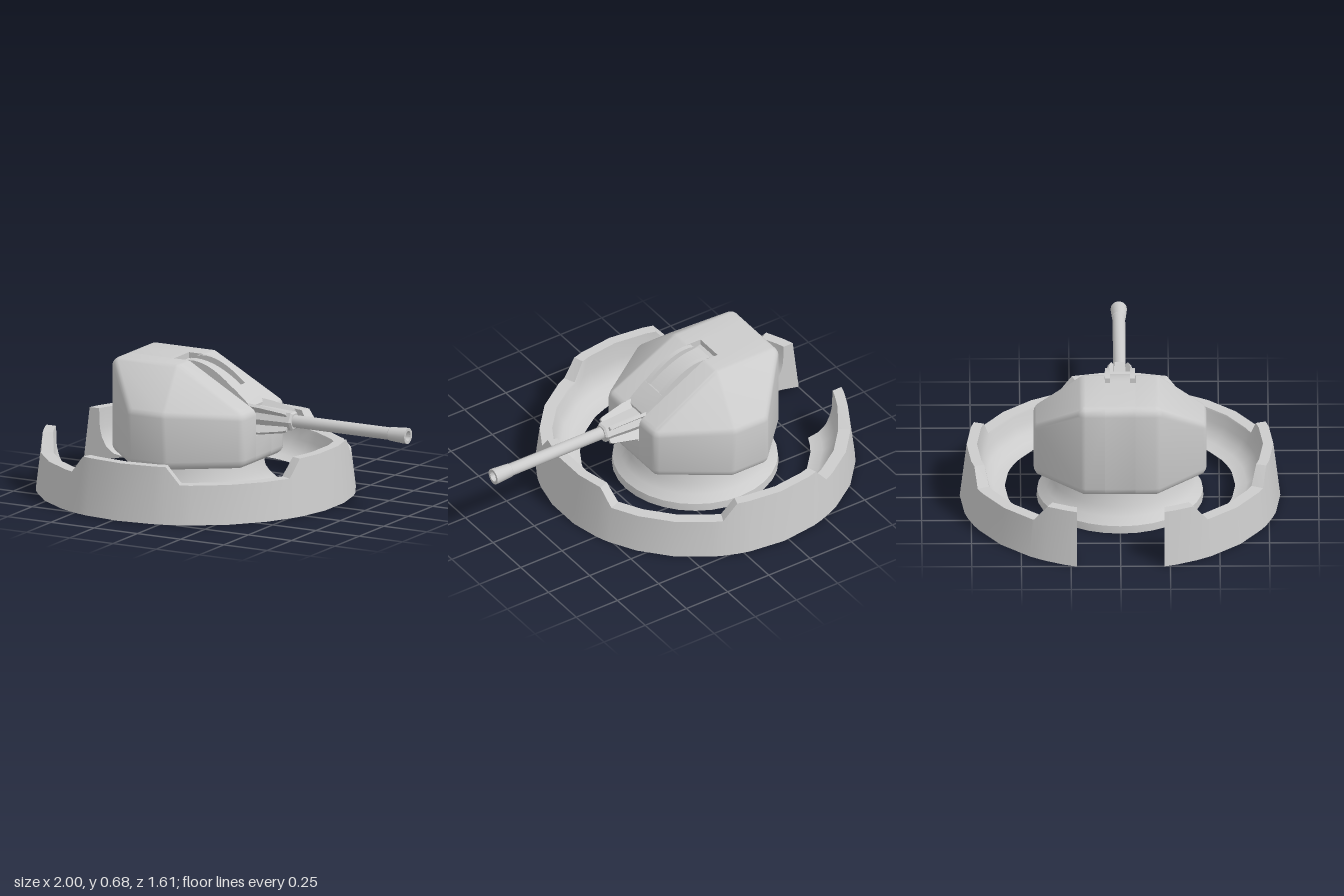
import * as THREE from 'three';
import { toCreasedNormals } from 'three/addons/utils/BufferGeometryUtils.js';
import { ConvexGeometry } from 'three/addons/geometries/ConvexGeometry.js';

const CX = -0.226;      // shared axis of ring and turret
const GUN_Y = 0.415;
const SLOT = 0.077;     // half width of the gun slot
const BEVEL = 0.045;    // edge radius of the turret shell
const material = new THREE.MeshStandardMaterial({ color: 0xcccccc, side: THREE.DoubleSide });

function add(parent, name, geometry, x = 0, y = 0, z = 0) {
  const mesh = new THREE.Mesh(geometry, material);
  mesh.name = name;
  mesh.position.set(x, y, z);
  parent.add(mesh);
  return mesh;
}

const lathe = (pts, sides, crease = 0.6) => toCreasedNormals(
  new THREE.LatheGeometry(pts.map(p => new THREE.Vector2(...p)), sides), crease);

// Ring wall: flared section swept around the axis, with raised parts and a straight-sided gap
function ringWall() {
  const centres = [10.5, 90, 180, 270, 349.5];
  const height = a => {
    const d = Math.min(...centres.map(c => Math.abs(a - c)));
    return 0.2 + 0.09 * THREE.MathUtils.clamp((23.5 - d) / 5.5, 0, 1);
  };
  const angles = [15, 345];
  for (let k = -5; k <= 18; k++) angles.push(90 + k * 360 / 26);
  for (const c of centres) for (const d of [-23.5, -18, 18, 23.5]) angles.push(c + d);
  const steps = angles.filter(a => a >= 15 && a <= 345).sort((a, b) => a - b);

  const pos = [], idx = [];
  let n = 0;
  for (const deg of steps) {
    const h = height(deg);
    const section = [[0.807, 0], [0.807 - 0.12 * h, h], [0.72, h], [0.716, 0.19],
      [0.704, 0.14], [0.68, 0.095], [0.64, 0.065], [0.58, 0.055]];
    n = section.length;
    for (const [r, y] of section) {
      const cut = Math.asin(0.22 / r);
      const a = THREE.MathUtils.clamp(deg * Math.PI / 180, cut, 2 * Math.PI - cut);
      pos.push(CX - r * Math.cos(a), y, r * Math.sin(a));
    }
  }
  for (let i = 0; i < steps.length - 1; i++) {
    for (let j = 0; j < n - 1; j++) {
      const a = i * n + j, b = a + n;
      idx.push(a, b, b + 1, a, b + 1, a + 1);
    }
  }
  // end caps at the gap
  const last = (steps.length - 1) * n;
  for (let j = 1; j < n - 1; j++) {
    idx.push(0, j, j + 1, last, last + j + 1, last + j);
  }
  const g = new THREE.BufferGeometry();
  g.setAttribute('position', new THREE.Float32BufferAttribute(pos, 3));
  g.setIndex(idx);
  return toCreasedNormals(g, 0.55);
}

// One side of the turret shell: hull around small balls at the corners, cut flat at the slot
function turretSide(side) {
  const corners = [
    [-0.605, 0.185, 0.22], [-0.4, 0.185, 0.435], [-0.13, 0.185, 0.435], [0.165, 0.185, 0.23],
    [-0.4, 0.5, 0.435], [-0.14, 0.5, 0.435], [0.165, 0.48, 0.23],
    [-0.605, 0.68, 0.22], [-0.19, 0.68, 0.22],
    [-0.605, 0.185, SLOT], [0.165, 0.185, SLOT], [0.165, 0.48, SLOT],
    [-0.605, 0.68, SLOT], [-0.19, 0.68, SLOT],
  ];
  const ball = new THREE.SphereGeometry(BEVEL, 12, 8).getAttribute('position');
  const points = [];
  for (const [x, y, z] of corners) {
    const c = new THREE.Vector3(x + (x < CX ? BEVEL : -BEVEL), y + (y < 0.4 ? BEVEL : -BEVEL),
      z === SLOT ? z : z - BEVEL);
    for (let i = 0; i < ball.count; i++) {
      const p = new THREE.Vector3().fromBufferAttribute(ball, i).add(c);
      p.z = side * Math.max(p.z, SLOT);
      points.push(p);
    }
  }
  return toCreasedNormals(new ConvexGeometry(points), 0.7);
}

// Side profile in x/y extruded across z, centred; a curved one starts with a quadratic arc
function slab(pts, width, curved = false) {
  const s = new THREE.Shape();
  s.moveTo(...pts[0]);
  if (curved) s.quadraticCurveTo(...pts[1], ...pts[2]);
  pts.slice(curved ? 3 : 1).forEach(p => s.lineTo(...p));
  const g = new THREE.ExtrudeGeometry(s, { depth: width, bevelEnabled: false, curveSegments: 10 });
  return toCreasedNormals(g.translate(0, 0, -width / 2), 0.45);
}

// Quarter-round corner of a profile, from the given quadrant on, counter-clockwise
const roundCorner = (x, y, quadrant) => [0, 1, 2, 3, 4].map(i => {
  const a = (quadrant + i / 4) * Math.PI / 2;
  return [x + BEVEL * Math.cos(a), y + BEVEL * Math.sin(a)];
});

export function createModel() {
  const model = new THREE.Group();
  model.name = 'gunTurret';

  add(model, 'ringWall', ringWall());
  add(model, 'pedestal', lathe([[0, 0], [0.42, 0], [0.417, 0.04], [0.38, 0.075],
    [0.35, 0.12], [0.335, 0.2]], 32), CX);

  const turret = new THREE.Group();
  turret.name = 'turret';
  model.add(turret);
  for (const s of [1, -1]) add(turret, 'turretSide', turretSide(s));

  // Middle of the shell, recessed along the roof and front for the gun
  add(turret, 'turretMiddle', slab([
    ...roundCorner(0.12, 0.23, 3), [0.165, 0.335], [0.09, 0.335], [0.09, 0.44],
    [-0.2, 0.62], [-0.31, 0.65], [-0.31, 0.68],
    ...roundCorner(-0.56, 0.635, 1), ...roundCorner(-0.56, 0.23, 2)], SLOT * 2));

  // Curved guide in the slot for the gun
  for (const s of [1, -1]) {
    add(turret, 'guideRail', slab([[-0.25, 0.675], [-0.12, 0.71], [0.06, 0.535],
      [0.06, 0.45], [-0.25, 0.62]], 0.024, true), 0, 0, s * 0.063);
  }
  add(turret, 'guideStrip', slab([[-0.28, 0.66], [-0.13, 0.675], [0.06, 0.51],
    [0.06, 0.45], [-0.28, 0.62]], 0.102, true));

  // Mantlet block closing the front of the slot
  add(turret, 'mantlet', slab([[0.02, 0.37], [0.13, 0.37], [0.13, 0.48],
    [0.1, 0.51], [0.03, 0.567], [0.01, 0.55]], 0.152));

  const gun = new THREE.Group();
  gun.name = 'gun';
  gun.position.y = GUN_Y;
  turret.add(gun);

  // Cradle: hexagonal sleeve with four tapering diagonal fins
  const sleeve = lathe([[0, 0.1], [0.062, 0.1], [0.058, 0.2], [0.052, 0.3],
    [0.052, 0.335], [0.044, 0.345], [0, 0.345]], 6, 0.3);
  add(gun, 'cradleSleeve', sleeve.rotateZ(-Math.PI / 2));
  for (let i = 0; i < 4; i++) {
    const fin = slab([[0.1, 0], [0.32, 0], [0.32, 0.066], [0.3, 0.074],
      [0.18, 0.098], [0.1, 0.106]], 0.016);
    add(gun, 'cradleFin', fin).rotation.x = Math.PI / 4 + i * Math.PI / 2;
  }

  // Barrel and hollow muzzle
  add(gun, 'barrel', lathe([[0.032, 0.3], [0.032, 0.91]], 16).rotateZ(-Math.PI / 2));
  add(gun, 'muzzle', lathe([[0.03, 0.895], [0.035, 0.9], [0.041, 0.985], [0.041, 1],
    [0.026, 1], [0.024, 0.93], [0, 0.93]], 16).rotateZ(-Math.PI / 2));

  return model;
}
